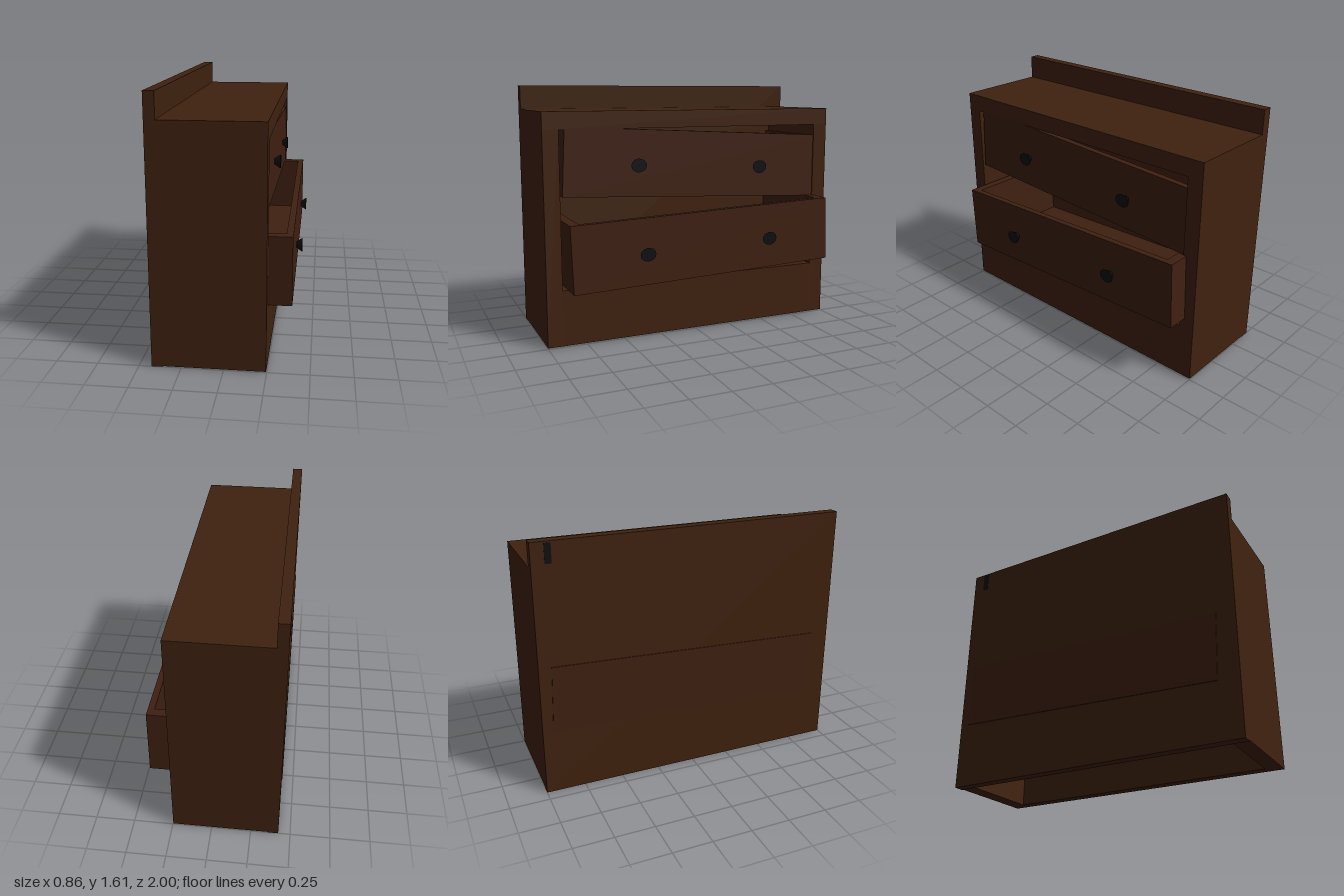
import * as THREE from 'three';

const wood = new THREE.MeshStandardMaterial({ color: 0x40220f });
wood.name = 'dark wood';
const drawerWood = new THREE.MeshStandardMaterial({ color: 0x3f2011 });
drawerWood.name = 'drawer wood';
const black = new THREE.MeshStandardMaterial({ color: 0x0c0d10 });
black.name = 'black metal';

// Box given by its low and high corner
function slab(parent, name, lo, hi, material) {
  const s = hi.map((v, i) => v - lo[i]);
  const mesh = new THREE.Mesh(new THREE.BoxGeometry(...s), material);
  mesh.position.set(...hi.map((v, i) => (v + lo[i]) / 2));
  mesh.name = name;
  parent.add(mesh);
  return mesh;
}

// Open-topped drawer with two flared knobs; its origin is the middle of its front
function makeDrawer(name, depth) {
  const g = new THREE.Group();
  g.name = name;
  const w = 0.9, h = 0.2125, t = 0.06, f = 0.04;
  slab(g, 'drawerFront', [-f, -h, -w], [0, h, w], drawerWood);
  slab(g, 'drawerBack', [-depth, -h, -w], [-depth + f, h, w], drawerWood);
  slab(g, 'drawerFloor', [-depth + f, -h, -w + t], [-f, -h + 0.05, w - t], drawerWood);
  for (const s of [-1, 1]) {
    const z = s * (w - t / 2);
    slab(g, 'drawerSide', [-depth + f, -h, z - t / 2], [-f, h, z + t / 2], drawerWood);
    const knob = new THREE.Mesh(
      new THREE.CylinderGeometry(0.052, 0.022, 0.04, 14).rotateZ(-Math.PI / 2), black);
    knob.scale.y = 0.83;
    knob.position.set(0.02, -0.01, s * 0.43);
    knob.name = 'knob';
    g.add(knob);
  }
  return g;
}

export function createModel() {
  const model = new THREE.Group();
  model.name = 'dresser';

  // Case, open underneath and at the drawer opening
  const cabinet = new THREE.Group();
  cabinet.name = 'cabinet';
  model.add(cabinet);
  const back = -0.425, inner = -0.36, front = 0.247;
  slab(cabinet, 'backPanel', [back, 0, -1], [inner, 1.61, 1], wood);
  slab(cabinet, 'top', [inner, 1.345, -1], [front, 1.455, 1], wood);
  slab(cabinet, 'frontApron', [0.18, 0.005, -0.9], [front, 0.36, 0.9], wood);
  slab(cabinet, 'bottomShelf', [inner, 0.3, -0.9], [0.18, 0.36, 0.9], wood);
  for (const s of [-1, 1])
    slab(cabinet, 'sidePanel', [inner, 0.005, s * 0.95 - 0.05],
      [front, 1.345, s * 0.95 + 0.05], wood);

  // Small dark slot on the back
  slab(cabinet, 'backSlot', [back - 0.002, 1.48, -0.92], [back, 1.6, -0.88], black);

  // Two crooked drawers, the lower one pulled out
  const upper = makeDrawer('upperDrawer', 0.65);
  upper.position.set(0.241, 1.105, -0.025);
  upper.rotation.x = -0.05;
  const lower = makeDrawer('lowerDrawer', 0.815);
  lower.position.set(0.385, 0.605, -0.0275);
  lower.rotation.x = 0.036;
  model.add(upper, lower);

  return model;
}
